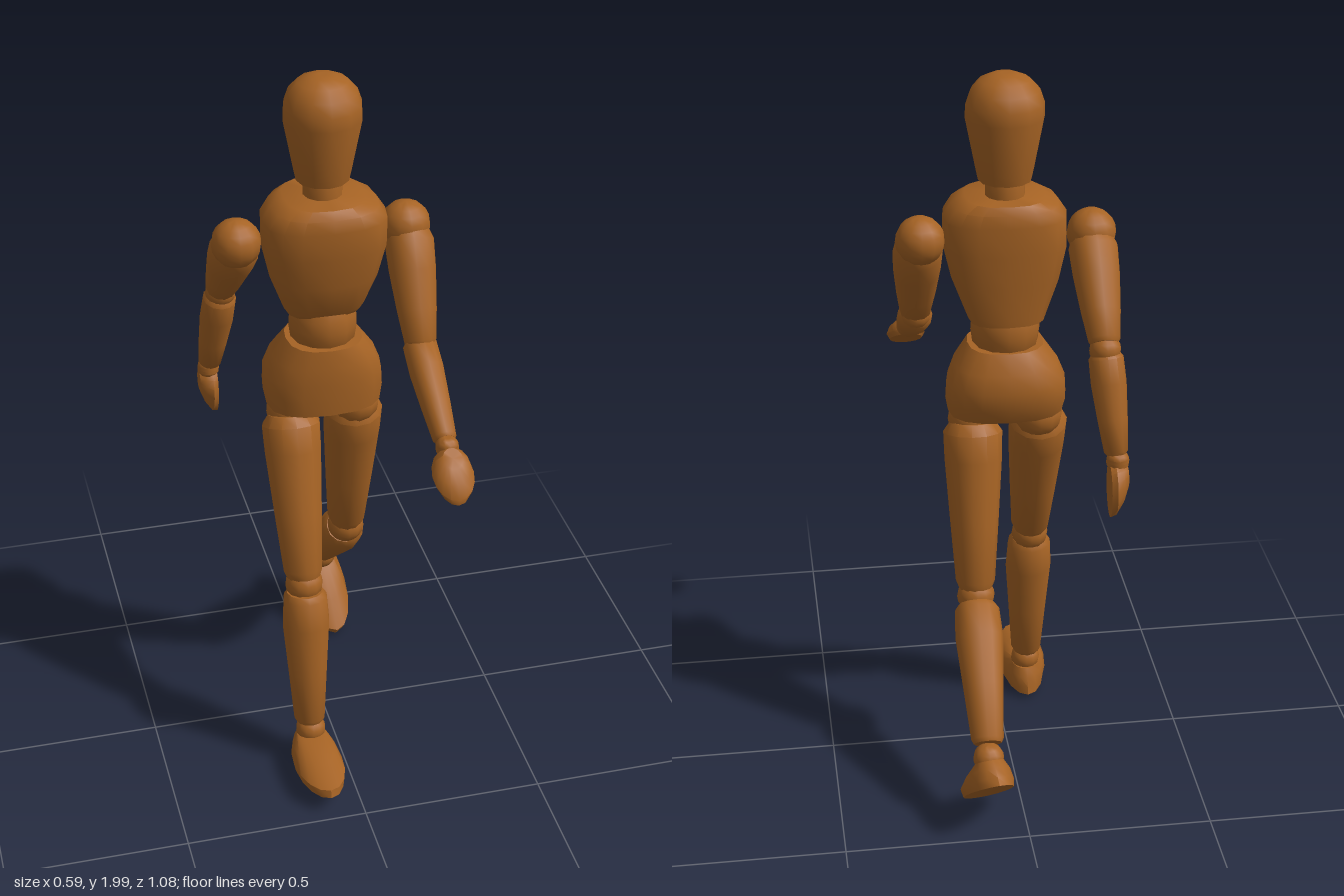
import * as THREE from 'three';
import { toCreasedNormals } from 'three/addons/utils/BufferGeometryUtils.js';

const wood = new THREE.MeshStandardMaterial({ color: 0xa66324 });
wood.name = 'wood';
const V = (x, y, z) => new THREE.Vector3(x, y, z);
const SIDES = 12;

function add(parent, name, geometry) {
  const mesh = new THREE.Mesh(toCreasedNormals(geometry, 0.75), wood);
  mesh.name = name;
  parent.add(mesh);
  return mesh;
}

// Turned part: profile is [radius, height] from bottom to top, closed at both ends
function turned(profile) {
  const pts = profile.map(([r, y]) => new THREE.Vector2(r, y));
  pts.unshift(new THREE.Vector2(0, profile[0][1]));
  pts.push(new THREE.Vector2(0, profile[profile.length - 1][1]));
  return new THREE.LatheGeometry(pts, SIDES);
}

// Carved part: sections are [y, half width, back z, front z], joined as rounded rings
function carved(sections, power = 2, sides = 16) {
  const rings = [[...sections[0]], ...sections, [...sections[sections.length - 1]]];
  const geo = new THREE.LatheGeometry(rings.map(s => new THREE.Vector2(1, s[0])), sides);
  const pos = geo.attributes.position;
  const curve = v => Math.sign(v) * Math.abs(v) ** (2 / power);
  for (let i = 0; i <= sides; i++) {
    const a = ((i % sides) / sides) * Math.PI * 2;
    rings.forEach(([y, hx, back, front], j) => {
      const k = j === 0 || j === rings.length - 1 ? 0 : 1;
      pos.setXYZ(i * rings.length + j, k * hx * curve(Math.sin(a)), y,
        (front + back) / 2 + k * (front - back) / 2 * curve(Math.cos(a)));
    });
  }
  return geo;
}

// Limb turned along the line from a to b; profile is [radius, fraction of length]
function limb(parent, name, a, b, profile) {
  const dir = b.clone().sub(a), length = dir.length();
  const mesh = add(parent, name, turned(profile.map(([r, t]) => [r, t * length])));
  mesh.position.copy(a);
  mesh.quaternion.setFromUnitVectors(V(0, 1, 0), dir.normalize());
}

function ball(parent, name, p, r) {
  add(parent, name, new THREE.SphereGeometry(r, SIDES, 10)).position.copy(p);
}

// Hand or foot: local z points along the fingers or toes, local y away from the palm or sole
function extremity(parent, name, geometry, p, forward, up) {
  const z = forward.clone().normalize();
  const x = up.clone().cross(z).normalize();
  const mesh = add(parent, name, geometry);
  mesh.position.copy(p);
  mesh.quaternion.setFromRotationMatrix(new THREE.Matrix4().makeBasis(x, z.clone().cross(x), z));
}

const THIGH = [[0.06, 0], [0.08, 0.06], [0.078, 0.22], [0.066, 0.6], [0.054, 0.95], [0.045, 1]];
const SHIN = [[0.05, 0], [0.061, 0.04], [0.066, 0.24], [0.055, 0.6], [0.044, 0.97], [0.038, 1]];
const UPPER_ARM = [[0.055, 0], [0.066, 0.1], [0.063, 0.35], [0.053, 0.7], [0.043, 0.96], [0.036, 1]];
const FOREARM = [[0.036, 0], [0.046, 0.05], [0.047, 0.3], [0.04, 0.65], [0.032, 0.97], [0.026, 1]];
const FOOT = [[-0.085, 0.064, -0.08, 0.235], [-0.062, 0.069, -0.073, 0.232],
  [-0.035, 0.058, -0.062, 0.14], [-0.012, 0.04, -0.045, 0.045]];
const HAND = [[-0.022, 0.046, 0.005, 0.155], [-0.008, 0.055, 0, 0.148],
  [0.012, 0.046, 0.005, 0.115], [0.026, 0.026, 0.015, 0.075]];

function leg(parent, side, j) {
  const g = new THREE.Group();
  g.name = side + 'Leg';
  parent.add(g);
  ball(g, 'hipJoint', j.hip, 0.066);
  limb(g, 'thigh', j.thigh[0], j.thigh[1], THIGH);
  ball(g, 'kneeJoint', j.knee, 0.052);
  limb(g, 'shin', j.shin[0], j.shin[1], SHIN);
  ball(g, 'ankleJoint', j.ankle, 0.042);
  extremity(g, 'foot', carved(FOOT), j.ankle, j.toes, V(0, 1, 0));
}

function arm(parent, side, j) {
  const g = new THREE.Group();
  g.name = side + 'Arm';
  parent.add(g);
  ball(g, 'shoulderJoint', j.shoulder, 0.066);
  limb(g, 'upperArm', j.upper[0], j.upper[1], UPPER_ARM);
  ball(g, 'elbowJoint', j.elbow, 0.042);
  limb(g, 'forearm', j.fore[0], j.fore[1], FOREARM);
  ball(g, 'wristJoint', j.wrist, 0.031);
  extremity(g, 'hand', carved(HAND), j.wrist, j.fingers, j.handBack);
}

export function createModel() {
  const model = new THREE.Group();
  model.name = 'woodenMannequin';

  // Head and neck
  add(model, 'head', turned([[0.07, 1.717], [0.076, 1.745], [0.103, 1.885], [0.102, 1.92],
    [0.09, 1.955], [0.066, 1.982], [0.035, 1.996], [0.01, 2]]));
  add(model, 'neck', turned([[0.052, 1.65], [0.052, 1.7], [0.045, 1.735]]));

  // Trunk
  add(model, 'chest', carved([[1.34, 0.1, -0.1, 0.065], [1.36, 0.108, -0.102, 0.085],
    [1.45, 0.142, -0.108, 0.11], [1.54, 0.163, -0.113, 0.127], [1.62, 0.163, -0.115, 0.135],
    [1.655, 0.14, -0.112, 0.13], [1.675, 0.105, -0.1, 0.112]], 2.7));
  add(model, 'waist', turned([[0.075, 1.24], [0.088, 1.265], [0.093, 1.3], [0.09, 1.335], [0.078, 1.365]]));
  add(model, 'pelvis', carved([[1.065, 0.155, -0.105, 0.105], [1.11, 0.163, -0.128, 0.108],
    [1.16, 0.16, -0.133, 0.11], [1.21, 0.14, -0.125, 0.11], [1.262, 0.102, -0.095, 0.103]], 2.5));

  // Left leg trails, right leg strides forward
  leg(model, 'left', {
    hip: V(0.09, 1.04, 0), thigh: [V(0.09, 1.035, -0.012), V(0.097, 0.57, -0.112)],
    knee: V(0.097, 0.55, -0.117), shin: [V(0.097, 0.532, -0.135), V(0.103, 0.26, -0.412)],
    ankle: V(0.103, 0.225, -0.428), toes: V(0.03, -0.205, 0.235),
  });
  leg(model, 'right', {
    hip: V(-0.09, 1.04, 0), thigh: [V(-0.094, 1.035, 0.015), V(-0.094, 0.595, 0.166)],
    knee: V(-0.094, 0.577, 0.168), shin: [V(-0.094, 0.558, 0.178), V(-0.094, 0.145, 0.23)],
    ankle: V(-0.092, 0.115, 0.232), toes: V(0, 0.04, 0.31),
  });

  // Left arm swings forward, right arm swings back
  arm(model, 'left', {
    shoulder: V(0.222, 1.558, 0), upper: [V(0.227, 1.545, 0.008), V(0.223, 1.285, 0.165)],
    elbow: V(0.223, 1.282, 0.158), fore: [V(0.223, 1.286, 0.145), V(0.223, 1.138, 0.402)],
    wrist: V(0.223, 1.13, 0.42), fingers: V(0, -0.082, 0.125), handBack: V(0, 1, 0),
  });
  arm(model, 'right', {
    shoulder: V(-0.228, 1.558, 0), upper: [V(-0.228, 1.545, -0.01), V(-0.233, 1.325, -0.198)],
    elbow: V(-0.234, 1.31, -0.2), fore: [V(-0.235, 1.302, -0.2), V(-0.255, 1.045, -0.28)],
    wrist: V(-0.258, 1.028, -0.284), fingers: V(0, -0.155, -0.025), handBack: V(-1, 0, 0),
  });

  return model;
}
